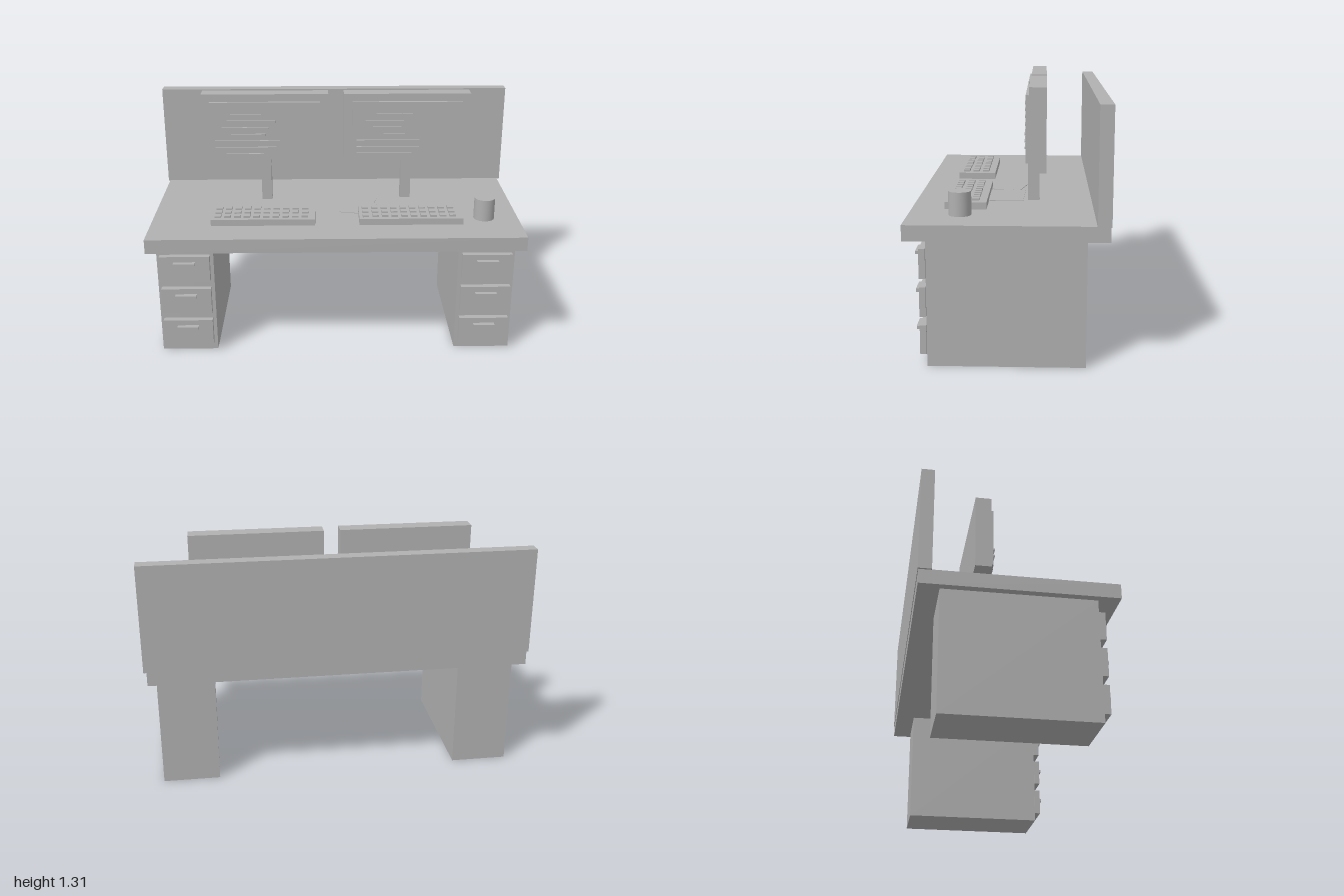
import * as THREE from 'three';

const grey = new THREE.MeshStandardMaterial({ color: 0xb0b0b0 });
grey.name = 'plain grey';

// Box given by its minimum and maximum on each axis
function box(parent, name, x0, x1, y0, y1, z0, z1) {
  const mesh = new THREE.Mesh(new THREE.BoxGeometry(x1 - x0, y1 - y0, z1 - z0), grey);
  mesh.position.set((x0 + x1) / 2, (y0 + y1) / 2, (z0 + z1) / 2);
  mesh.name = name;
  parent.add(mesh);
  return mesh;
}

function group(parent, name, x) {
  const g = new THREE.Group();
  g.name = name;
  g.position.x = x;
  parent.add(g);
  return g;
}

// Cabinet with three drawers, each with a bar handle
function addPedestal(parent, name, x) {
  const g = group(parent, name, x);
  box(g, 'cabinet', -0.15, 0.15, 0, 0.624, -0.375, 0.38);
  for (let i = 0; i < 3; i++) {
    const y = 0.051 + i * 0.188;
    box(g, 'drawerFront', -0.132, 0.132, y, y + 0.145, 0.385, 0.416);
    box(g, 'drawerHandle', -0.057, 0.057, y + 0.099, y + 0.115, 0.416, 0.441);
  }
}

// Monitor on a post, with raised text bars on the screen (start and end in x)
function addMonitor(parent, name, x, bars) {
  const g = group(parent, name, x);
  box(g, 'monitorCase', -0.35, 0.35, 0.9, 1.311, -0.181, -0.097);
  box(g, 'screen', -0.304, 0.304, 0.94, 1.269, -0.097, -0.08);
  box(g, 'monitorPost', -0.028, 0.028, 0.7, 0.945, -0.146, -0.087);
  bars.forEach(([a, b], i) => {
    const y = 1.2 - i * 0.0378;
    box(g, 'screenBar', a, b, y - 0.005, y + 0.005, -0.08, -0.07);
  });
}

// Keyboard slab with three rows of ten keys
function addKeyboard(parent, name, x) {
  const g = group(parent, name, x);
  box(g, 'keyboardBase', -0.276, 0.276, 0.706, 0.741, 0.111, 0.318);
  for (let row = 0; row < 3; row++) {
    for (let col = 0; col < 10; col++) {
      const kx = -0.241 + col * 0.0514, kz = 0.167 + row * 0.055;
      box(g, 'key', kx - 0.017, kx + 0.017, 0.741, 0.752, kz - 0.017, kz + 0.017);
    }
  }
}

export function createModel() {
  const model = new THREE.Group();
  model.name = 'officeDesk';

  // Desk
  box(model, 'deskTop', -0.99, 0.985, 0.624, 0.7, -0.479, 0.485);
  box(model, 'backPanel', -1, 1, 0.698, 1.259, -0.482, -0.416);
  addPedestal(model, 'rightPedestal', -0.803);
  addPedestal(model, 'leftPedestal', 0.797);

  // Equipment
  addMonitor(model, 'rightMonitor', -0.388, [
    [-0.19, -0.02], [-0.21, 0.06], [-0.24, 0.02], [-0.19, 0], [-0.28, 0.08], [-0.28, 0.06], [-0.22, -0.01],
  ]);
  addMonitor(model, 'leftMonitor', 0.398, [
    [-0.17, 0.03], [-0.23, -0.02], [-0.19, -0.03], [-0.13, -0.01], [-0.28, 0.07], [-0.28, 0.07], [-0.28, 0.03],
  ]);
  addKeyboard(model, 'rightKeyboard', -0.389);
  addKeyboard(model, 'leftKeyboard', 0.398);

  // Loose sheets
  const sheetA = box(model, 'paperSheet', 0.23, 0.5, 0.711, 0.714, -0.069, 0.145);
  sheetA.rotation.y = -0.03;
  const sheetB = box(model, 'smallPaperSheet', 0.041, 0.207, 0.709, 0.712, -0.063, 0.161);
  sheetB.rotation.y = -0.215;

  // Cup
  const cup = new THREE.Mesh(new THREE.CylinderGeometry(0.055, 0.055, 0.117, 32), grey);
  cup.name = 'cup';
  cup.position.set(0.796, 0.767, 0.23);
  model.add(cup);

  return model;
}
